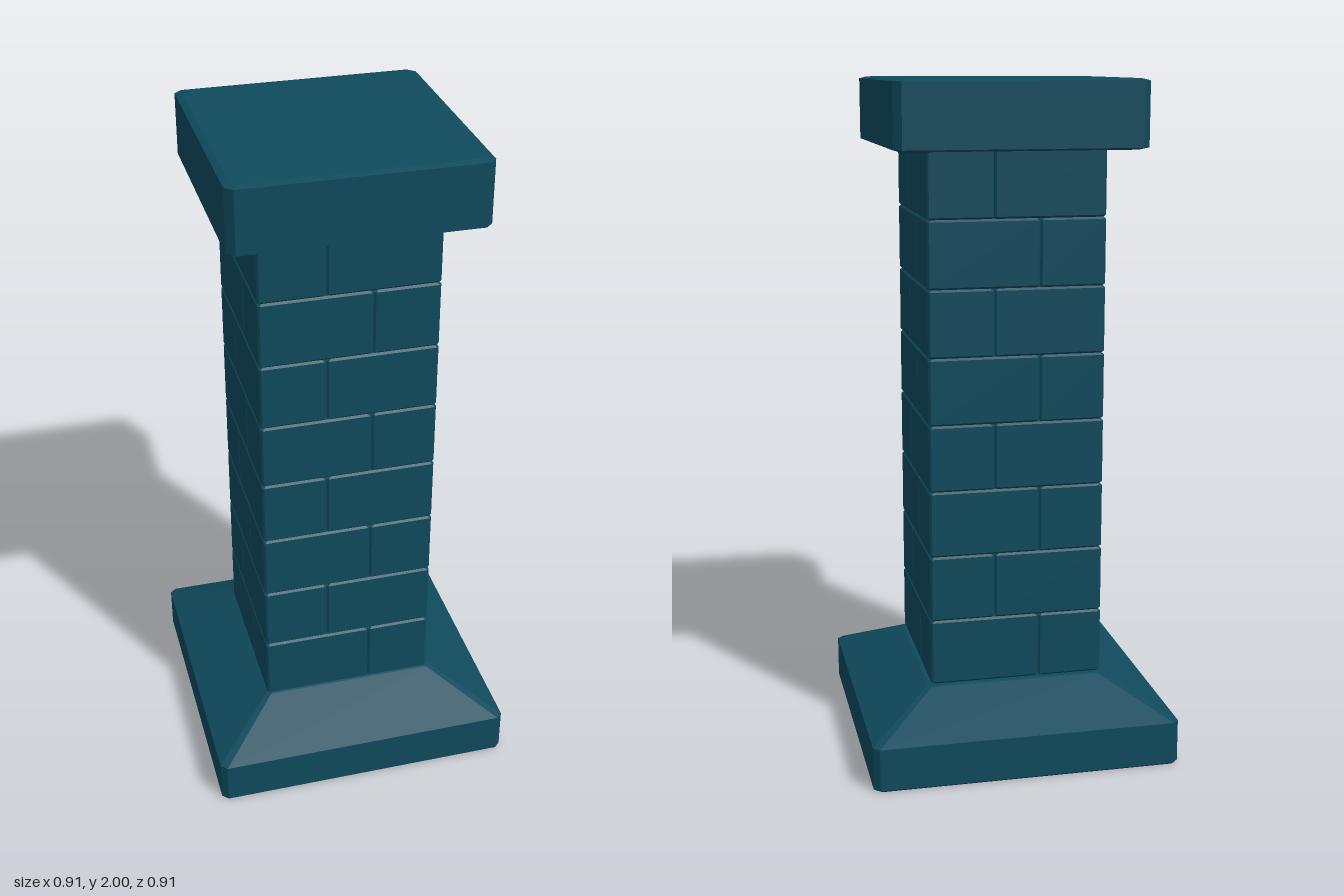
import * as THREE from 'three';

const stone = new THREE.MeshStandardMaterial({ color: 0x0f4a5d });
stone.name = 'dark teal stone';

// Stacks chamfered rectangles; each level is [y, halfX, halfZ, cornerChamfer]
function chamferedLoft(levels) {
  const rings = levels.map(([y, x, z, c]) => [
    [x, -z + c], [x, z - c], [x - c, z], [-x + c, z],
    [-x, z - c], [-x, -z + c], [-x + c, -z], [x - c, -z],
  ].map(([px, pz]) => [px, y, pz]));
  const pos = [];
  const tri = (...pts) => pts.forEach((p) => pos.push(...p));
  const bottom = rings[0], top = rings[rings.length - 1];
  for (let i = 0; i < 8; i++) {
    const j = (i + 1) % 8;
    for (let k = 0; k < rings.length - 1; k++) {
      const lo = rings[k], hi = rings[k + 1];
      tri(lo[i], hi[i], lo[j]);
      tri(lo[j], hi[i], hi[j]);
    }
    tri([0, top[0][1], 0], top[j], top[i]);
    tri([0, bottom[0][1], 0], bottom[i], bottom[j]);
  }
  const geo = new THREE.BufferGeometry();
  geo.setAttribute('position', new THREE.Float32BufferAttribute(pos, 3));
  geo.computeVertexNormals();
  return geo;
}

function addPart(parent, name, geo, x = 0, y = 0, z = 0) {
  const mesh = new THREE.Mesh(geo, stone);
  mesh.name = name;
  mesh.position.set(x, y, z);
  parent.add(mesh);
  return mesh;
}

export function createModel() {
  const model = new THREE.Group();
  model.name = 'brickPillar';

  // Square foot with a sloping shoulder
  addPart(model, 'base', chamferedLoft([
    [0, 0.452, 0.452, 0.018],
    [0.005, 0.457, 0.457, 0.018],
    [0.132, 0.457, 0.457, 0.018],
    [0.23, 0.268, 0.268, 0.012],
    [0.232, 0.262, 0.262, 0.012],
  ]));

  // Shaft: four bricks pinwheel around each course, alternating direction
  const shaft = new THREE.Group();
  shaft.name = 'shaft';
  shaft.position.set(-0.006, 0, 0.006);
  model.add(shaft);
  const rows = 8, y0 = 0.232, rowH = (1.81 - y0) / rows;
  const half = 0.26, long = 0.327, short = 2 * half - long, b = 0.006;
  const hx = long / 2, hz = short / 2;
  const brick = chamferedLoft([
    [0, hx - b, hz - b, b],
    [b, hx, hz, b],
    [rowH - b, hx, hz, b],
    [rowH, hx - b, hz - b, b],
  ]);
  for (let r = 0; r < rows; r++) {
    const course = new THREE.Group();
    course.name = 'course' + (r + 1);
    course.position.y = y0 + r * rowH;
    const side = r % 2 ? 1 : -1;
    for (let q = 0; q < 4; q++) {
      const holder = new THREE.Group();
      holder.name = 'brickSide' + (q + 1);
      holder.rotation.y = q * Math.PI / 2;
      addPart(holder, 'brick', brick, side * (half - hx), 0, half - hz);
      course.add(holder);
    }
    shaft.add(course);
  }

  // Capstone
  addPart(model, 'cap', chamferedLoft([
    [1.806, 0.34, 0.345, 0.02],
    [1.812, 0.36, 0.365, 0.022],
    [1.994, 0.36, 0.365, 0.022],
    [2.0, 0.34, 0.345, 0.02],
  ]), 0, 0, -0.002);

  return model;
}
